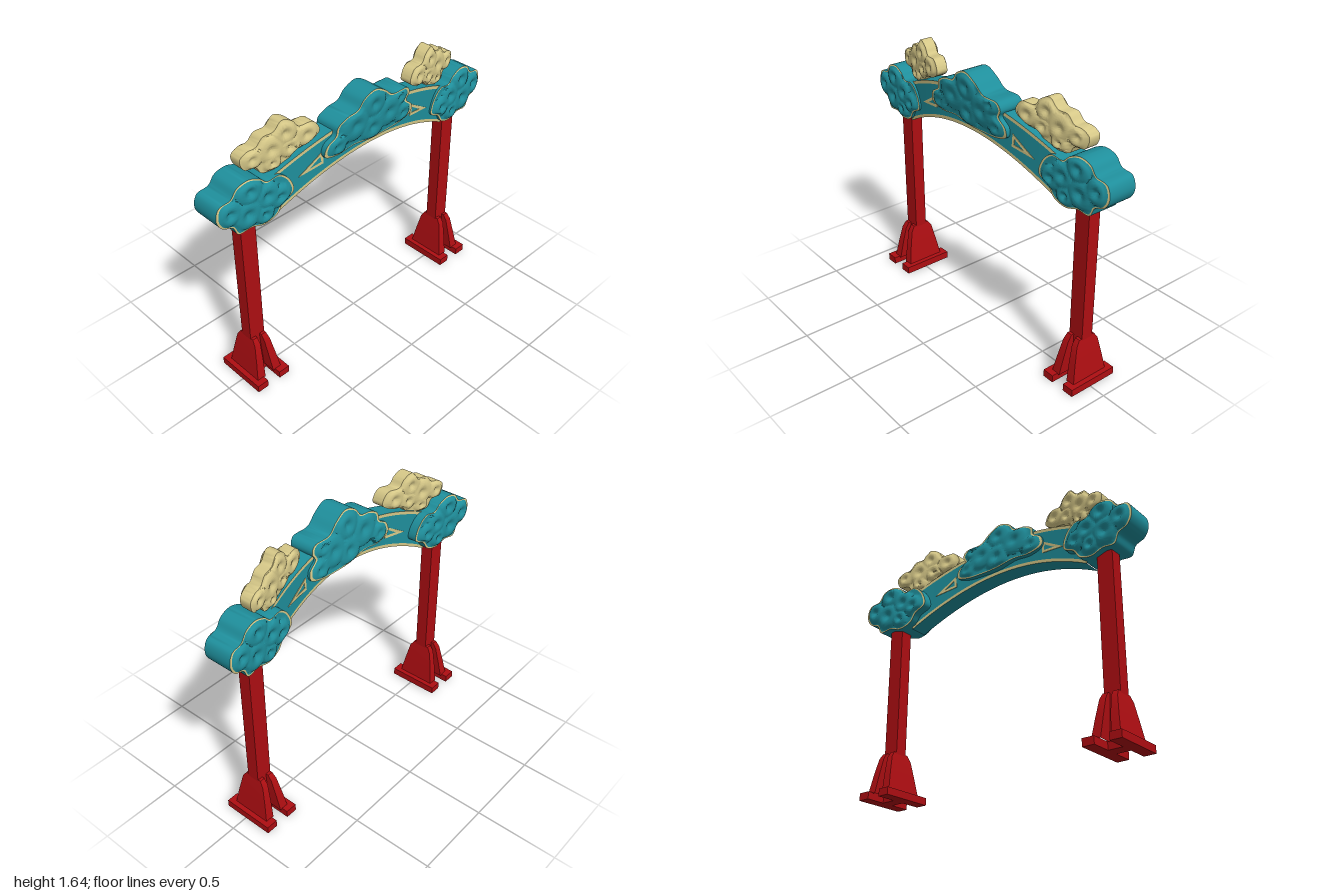
import * as THREE from 'three';
import { toCreasedNormals } from 'three/addons/utils/BufferGeometryUtils.js';

const mat = (name, color) => {
  const m = new THREE.MeshStandardMaterial({ color });
  m.name = name;
  return m;
};

// Skin a row of closed loops; matOf(i, j) picks the material of each quad.
function loft(loops, matOf = () => 0, crease = 0.7) {
  const n = loops[0].length;
  const buckets = [[], []];
  for (let i = 0; i < loops.length - 1; i++) {
    for (let j = 0; j < n; j++) {
      const k = (j + 1) % n;
      const a = i * n + j, b = a + n, c = (i + 1) * n + k, d = i * n + k;
      buckets[matOf(i, j)].push(a, b, c, a, c, d);
    }
  }
  const g = new THREE.BufferGeometry();
  g.setAttribute('position', new THREE.Float32BufferAttribute(loops.flat(2), 3));
  g.setIndex(buckets.flat());
  g.addGroup(0, buckets[0].length, 0);
  g.addGroup(buckets[0].length, buckets[1].length, 1);
  return toCreasedNormals(g, crease);
}

// Cloud outlines run counter-clockwise; lobes are [x, y, radius].
const endCloud = {
  outline: [[1, 1.25], [0.98, 1.32], [0.91, 1.34], [0.87, 1.39], [0.8, 1.41], [0.73, 1.385], [0.69, 1.35],
    [0.61, 1.355], [0.55, 1.3], [0.53, 1.22], [0.6, 1.175], [0.64, 1.12], [0.72, 1.095], [0.8, 1.115],
    [0.88, 1.11], [0.91, 1.165], [0.97, 1.19]],
  lobes: [[0.8, 1.34, 0.08], [0.925, 1.26, 0.075], [0.7, 1.27, 0.08], [0.62, 1.23, 0.07],
    [0.82, 1.21, 0.09], [0.72, 1.165, 0.06]],
  centre: [0.77, 1.25], half: 0.088, lump: 0.028, z: (x) => -0.007 - 0.08 * (Math.abs(x) - 0.77),
};
const middleCloud = {
  outline: [[0, 1.31], [0.12, 1.31], [0.24, 1.32], [0.31, 1.35], [0.31, 1.4], [0.26, 1.45], [0.28, 1.49],
    [0.26, 1.53], [0.14, 1.54], [0.08, 1.59], [0, 1.63], [-0.08, 1.6], [-0.12, 1.55], [-0.2, 1.535],
    [-0.26, 1.5], [-0.27, 1.45], [-0.33, 1.41], [-0.34, 1.35], [-0.25, 1.32], [-0.13, 1.33]],
  lobes: [[0, 1.54, 0.085], [-0.13, 1.46, 0.1], [0.12, 1.44, 0.095], [-0.26, 1.38, 0.07],
    [0.24, 1.38, 0.07], [0, 1.39, 0.09], [0.2, 1.5, 0.055]],
  centre: [-0.01, 1.44], half: 0.076, lump: 0.022, z: (x, y) => 0.07 + 0.1 * (y - 1.45),
};
const creamCloud = {
  outline: [[0.34, 1.5], [0.4, 1.455], [0.49, 1.43], [0.54, 1.375], [0.62, 1.365], [0.68, 1.37], [0.705, 1.41],
    [0.77, 1.42], [0.79, 1.485], [0.75, 1.52], [0.7, 1.53], [0.66, 1.575], [0.6, 1.585], [0.55, 1.635],
    [0.49, 1.61], [0.46, 1.57], [0.38, 1.57], [0.35, 1.54]],
  lobes: [[0.54, 1.56, 0.07], [0.42, 1.51, 0.07], [0.62, 1.49, 0.08], [0.73, 1.47, 0.06],
    [0.52, 1.47, 0.06], [0.62, 1.41, 0.05]],
  centre: [0.57, 1.49], half: 0.036, lump: 0.024, z: (x) => 0.022 - 0.2 * (Math.abs(x) - 0.55),
};

// Height of the domed, dimpled puffs at a point.
function puff(x, y, { lobes, lump }) {
  let h = 0;
  for (const [lx, ly, r] of lobes) {
    const d = Math.hypot(x - lx, y - ly) / r;
    if (d < 1) h = Math.max(h, Math.sqrt(1 - d * d) - 0.9 * Math.exp(-((d / 0.33) ** 2)));
  }
  return h * lump;
}

// A thick cloud: puffed front face, wall, puffed back face, with a rim band on each face.
function cloudGeometry(c, side) {
  const curve = new THREE.CatmullRomCurve3(c.outline.map(([x, y]) => new THREE.Vector3(x, y, 0)), true);
  const edge = curve.getSpacedPoints(112).slice(0, -1);
  const [cx, cy] = c.centre;
  const steps = [0.001];
  for (let i = 1; i <= 16; i++) steps.push(0.945 * i / 16);
  steps.push(1);
  const ring = (t, face) => {
    const loop = edge.map((p) => {
      const x = cx + (p.x - cx) * t, y = cy + (p.y - cy) * t;
      const fade = THREE.MathUtils.smoothstep(0.97 - t, 0, 0.12);
      return [x * side, y, c.z(x, y) + face * (c.half + puff(x, y, c) * fade)];
    });
    return side < 0 ? loop.reverse() : loop;
  };
  const loops = [...steps.map((t) => ring(t, 1)), ...steps.slice().reverse().map((t) => ring(t, -1))];
  const last = steps.length - 1;
  return loft(loops, (i) => (i === last - 1 || i === last + 1 ? 1 : 0), 0.9);
}

// Arch profile along x
const bow = (x) => 0.07 - 0.13 * x * x;
const archLow = (x) => 1.285 - 0.44 * x * x;
const archHigh = (x) => 1.5 - 0.36 * x * x;
const archHalf = 0.055;

function archGeometry() {
  const loops = [];
  for (let i = 0; i <= 40; i++) {
    const x = -0.66 + 1.32 * i / 40, lo = archLow(x), hi = archHigh(x), z = bow(x), b = 0.02;
    const ys = [lo, lo + b, hi - b, hi];
    loops.push([...ys.map((y) => [x, y, z + archHalf]), ...ys.slice().reverse().map((y) => [x, y, z - archHalf])]);
  }
  return loft(loops, (i, j) => ([0, 2, 4, 6].includes(j) ? 1 : 0));
}

// Thin triangular frame that hugs the bowed face of the arch
function framePlate(side, face) {
  const tri = (pts) => pts.map(([x, y]) => new THREE.Vector2(x * side, y));
  const shape = new THREE.Shape(tri([[0.335, 1.375], [0.33, 1.3], [0.49, 1.28]]));
  shape.holes.push(new THREE.Path(tri([[0.35, 1.35], [0.345, 1.315], [0.42, 1.304]])));
  const g = new THREE.ExtrudeGeometry(shape, { depth: 0.006, bevelEnabled: false });
  const p = g.attributes.position;
  for (let i = 0; i < p.count; i++) {
    p.setZ(i, p.getZ(i) - 0.003 + bow(p.getX(i)) + face * archHalf);
  }
  g.computeVertexNormals();
  return g;
}

// Tapered gusset leaning against the post
function gussetGeometry() {
  const section = (y, outer, inner, z) => [[outer, y, -z], [outer, y, z], [inner, y, z], [inner, y, -z]];
  return loft([
    section(0.04, 0.086, 0.03, 0.122),
    section(0.15, 0.07, 0.022, 0.102),
    section(0.26, 0.054, 0.015, 0.078),
    section(0.295, 0.047, 0.015, 0.055),
    section(0.295, 0.03, 0.03, 0.001),
  ], () => 0, 0.4);
}

export function createModel() {
  const model = new THREE.Group();
  model.name = 'cloudArchGate';
  const teal = mat('teal', 0x1f8f9c);
  const cream = mat('cream', 0xd6c888);
  const red = mat('red', 0xae0e12);
  const add = (parent, name, geometry, material, x = 0, y = 0, z = 0) => {
    const m = new THREE.Mesh(geometry, material);
    m.name = name;
    m.position.set(x, y, z);
    parent.add(m);
    return m;
  };

  add(model, 'archBand', archGeometry(), [teal, cream]);
  add(model, 'middleCloud', cloudGeometry(middleCloud, 1), [teal, cream]);

  for (const side of [1, -1]) {
    const label = side > 0 ? 'left' : 'right';
    add(model, label + 'EndCloud', cloudGeometry(endCloud, side), [teal, cream]);
    add(model, label + 'TopCloud', cloudGeometry(creamCloud, side), [cream, cream]);
    for (const face of [1, -1]) {
      add(model, label + (face > 0 ? 'Front' : 'Back') + 'Frame', framePlate(side, face), cream);
    }

    // Post with a pair of foot rails and gussets
    const post = new THREE.Group();
    post.name = label + 'Post';
    post.position.set(0.783 * side, 0, -0.017);
    model.add(post);
    add(post, 'shaft', new THREE.BoxGeometry(0.098, 1.18, 0.076), red, 0, 0.59, 0);
    for (const s of [1, -1]) {
      add(post, 'footRail', new THREE.BoxGeometry(0.072, 0.045, 0.32), red, 0.079 * s, 0.0225, 0);
      add(post, 'gusset', gussetGeometry(), red).rotation.y = s > 0 ? 0 : Math.PI;
    }
  }
  return model;
}
